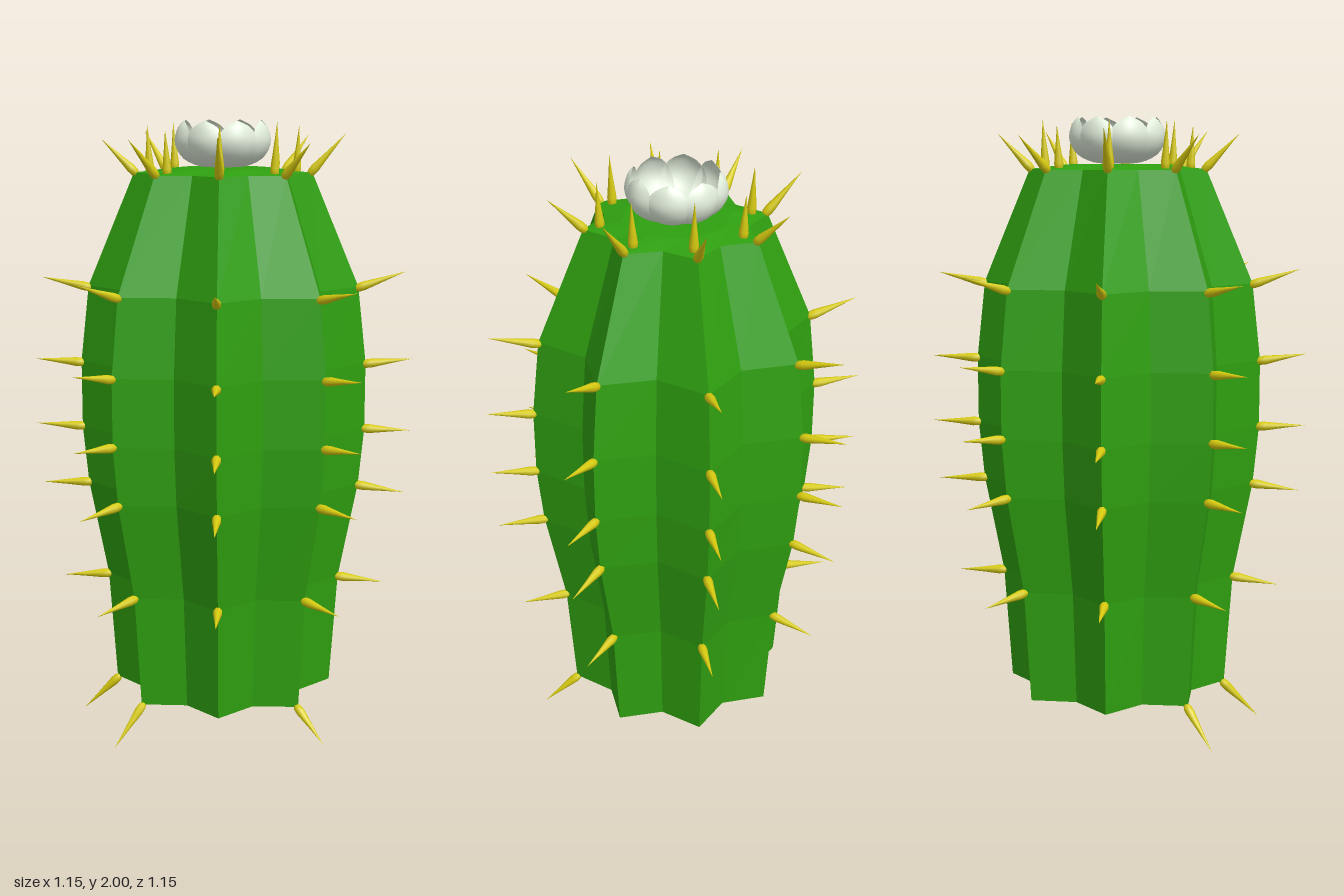
import * as THREE from 'three';

const RIBS = 8, CX = -0.008;
const green = new THREE.MeshStandardMaterial({ color: 0x2fa010, flatShading: true });
const yellow = new THREE.MeshStandardMaterial({ color: 0xd8cc10 });
const white = new THREE.MeshStandardMaterial({ color: 0xe2eedc, side: THREE.DoubleSide });

// Ridge r runs at this angle around the trunk
const ridgeAngle = (r) => ((r + 0.5) * 2 * Math.PI) / RIBS;
const polar = (radius, y, a) => new THREE.Vector3(CX + radius * Math.cos(a), y, radius * Math.sin(a));

// Indexed surface through rows of equally many points
function gridGeometry(rows) {
  const n = rows[0].length, index = [];
  for (let j = 0; j < rows.length - 1; j++) {
    for (let i = 0; i < n - 1; i++) {
      const a = j * n + i, b = a + 1, c = a + n, d = c + 1;
      index.push(a, c, b, b, c, d);
    }
  }
  const geo = new THREE.BufferGeometry().setFromPoints(rows.flat());
  geo.setIndex(index);
  geo.computeVertexNormals();
  return geo;
}

// Ribbed trunk: star-shaped rings [height, ridge radius, valley radius]
function makeTrunk() {
  const rings = [
    [0.12, 0, 0], [0.12, 0.363, 0.28], [0.49, 0.388, 0.3], [0.81, 0.45, 0.348],
    [1.0, 0.468, 0.36], [1.22, 0.468, 0.36], [1.47, 0.44, 0.34],
    [1.835, 0.287, 0.225], [1.85, 0.17, 0.16], [1.85, 0, 0],
  ];
  const rows = rings.map(([y, ridge, valley]) => {
    const row = [];
    for (let i = 0; i <= RIBS * 2; i++) row.push(polar(i % 2 ? ridge : valley, y, (i * Math.PI) / RIBS));
    return row;
  });
  const mesh = new THREE.Mesh(gridGeometry(rows), green);
  mesh.name = 'trunk';
  return mesh;
}

// Tapered spine with a rounded foot, pointing along +y, one unit long
const spineProfile = [[0, 0], [0.008, 0.02], [0.014, 0.09], [0.015, 0.2], [0.008, 0.55], [0, 1]];
const spineGeometry = new THREE.LatheGeometry(spineProfile.map(([r, y]) => new THREE.Vector2(r, y)), 8);

function makeSpine(from, to) {
  const dir = to.clone().sub(from);
  const mesh = new THREE.Mesh(spineGeometry, yellow);
  mesh.name = 'spine';
  mesh.scale.y = dir.length();
  mesh.position.copy(from);
  mesh.quaternion.setFromUnitVectors(new THREE.Vector3(0, 1, 0), dir.normalize());
  return mesh;
}

function makeSpines() {
  const group = new THREE.Group();
  group.name = 'spines';
  // Base radius, base height, tip radius, tip height
  const rows = [
    [0.372, 0.49, 0.54, 0.475], [0.432, 0.81, 0.605, 0.795], [0.452, 1.0, 0.62, 1.003],
    [0.452, 1.215, 0.62, 1.232], [0.425, 1.462, 0.595, 1.51],
    [0.272, 1.825, 0.392, 1.95], [0.235, 1.825, 0.243, 1.985],
  ];
  rows.forEach(([r0, y0, r1, y1], k) => {
    for (let r = 0; r < RIBS; r++) {
      const a = ridgeAngle(r), wobble = 0.012 * Math.sin(r * 2.3 + k);
      group.add(makeSpine(polar(r0, y0, a), polar(r1, y1 + wobble, a)));
    }
  });
  // Drooping spines at the foot, on three front ridges
  for (const r of [0, 2, 3]) {
    const a = ridgeAngle(r);
    group.add(makeSpine(polar(0.35, 0.125, a), polar(0.48, r ? 0 : 0.025, a)));
  }
  return group;
}

// Cupped petal: stations [radius, height, half width], bulging outwards
function makePetalGeometry() {
  const curve = new THREE.CatmullRomCurve3([
    [0.015, 1.853, 0.004], [0.08, 1.857, 0.045], [0.135, 1.885, 0.07],
    [0.158, 1.93, 0.07], [0.15, 1.975, 0.043], [0.132, 2.0, 0.002],
  ].map((p) => new THREE.Vector3(...p)));
  const rows = curve.getPoints(16).map((p) => {
    const row = [];
    for (let i = 0; i <= 10; i++) {
      const v = i / 5 - 1;
      row.push(new THREE.Vector3(p.x - 0.4 * p.z * v * v, p.y + 0.1 * p.z * v * v, p.z * v));
    }
    return row;
  });
  return gridGeometry(rows);
}

function makeFlower() {
  const group = new THREE.Group();
  group.name = 'flower';
  const geo = makePetalGeometry();
  for (let i = 0; i < 8; i++) {
    const petal = new THREE.Mesh(geo, white);
    petal.name = 'petal';
    petal.rotation.y = (i * Math.PI) / 4;
    group.add(petal);
  }
  group.position.x = CX;
  return group;
}

export function createModel() {
  const model = new THREE.Group();
  model.name = 'cactus';
  model.add(makeTrunk(), makeSpines(), makeFlower());
  return model;
}
